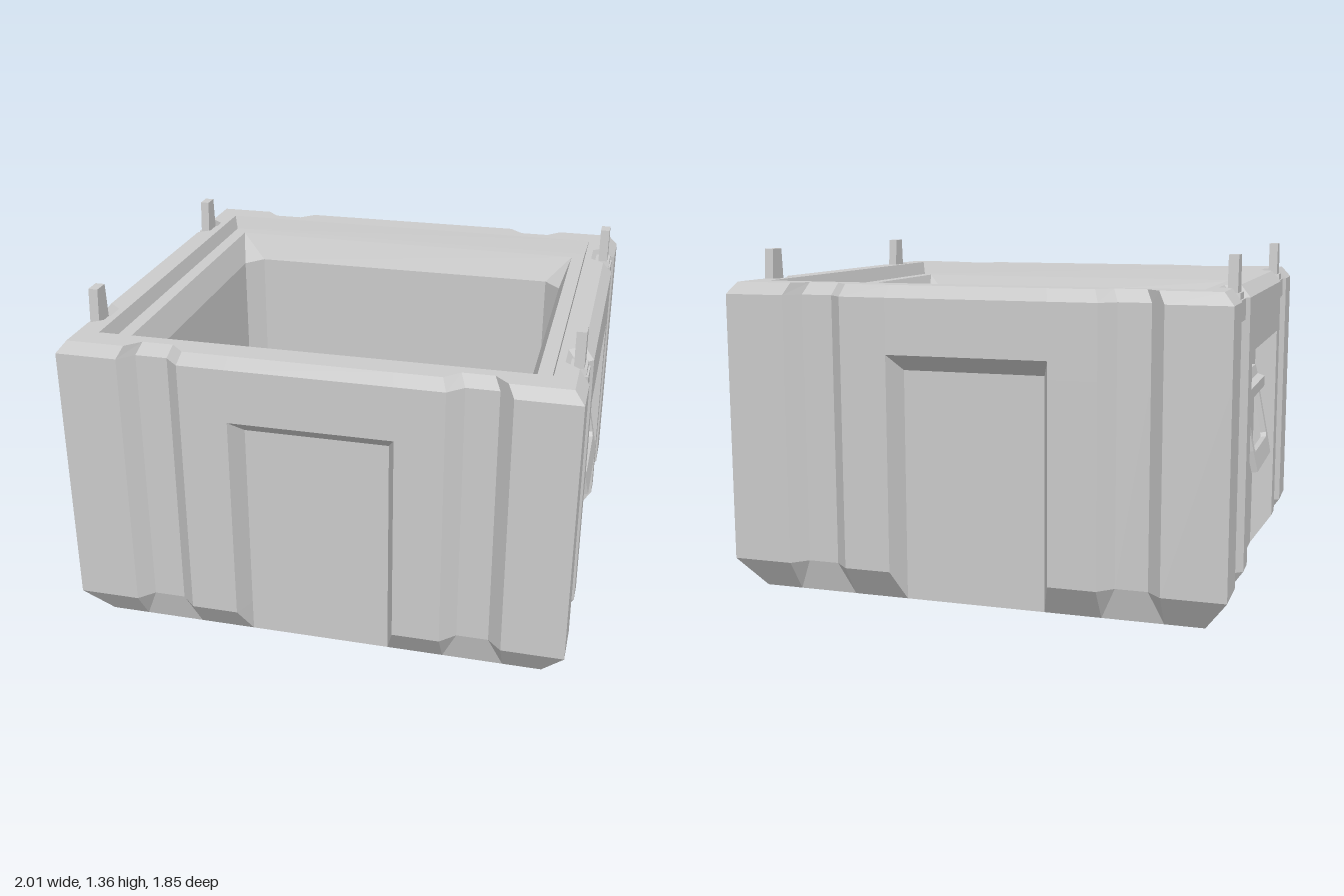
import * as THREE from 'three';

const grey = new THREE.MeshStandardMaterial({ color: 0xcccccc, flatShading: true });

function part(name, geometry, parent) {
  const mesh = new THREE.Mesh(geometry, grey);
  mesh.name = name;
  parent.add(mesh);
  return mesh;
}

// Skin closed rings of points, skipping collapsed triangles
function loft(rings) {
  const pos = [];
  const ab = new THREE.Vector3(), ac = new THREE.Vector3();
  const tri = (a, b, c) => {
    ab.subVectors(b, a);
    ac.subVectors(c, a);
    if (ab.cross(ac).length() < 1e-7) return;
    for (const p of [a, b, c]) pos.push(p.x, p.y, p.z);
  };
  for (let r = 0; r + 1 < rings.length; r++) {
    const lo = rings[r], hi = rings[r + 1], n = lo.length;
    for (let i = 0; i < n; i++) {
      const j = (i + 1) % n;
      tri(lo[i], lo[j], hi[j]);
      tri(lo[i], hi[j], hi[i]);
    }
  }
  const g = new THREE.BufferGeometry();
  g.setAttribute('position', new THREE.Float32BufferAttribute(pos, 3));
  g.computeVertexNormals();
  return g;
}

// Groove and panel positions along a wall: groove edge, floor, floor, edge, panel edge, panel floor
const FRONT = [0.749, 0.693, 0.567, 0.508, 0.32, 0.283];
const SIDE = [0.737, 0.686, 0.56, 0.51, 0.412, 0.39];

// Half outline of one wall, mirrored: [along, out] pairs
function wall(half, out, marks, { groove = 0, panel = 0, s = 1, foot = false, closed = false }) {
  const m = marks.map(v => v * s);
  if (foot) { m[1] = m[0]; m[2] = m[3]; m[4] = m[5]; }
  if (closed) m[5] = m[4];
  const drop = [0, groove, groove, 0, 0, panel];
  const left = [[-half, out], ...m.map((v, i) => [-v, out - drop[i]])];
  return [...left, ...left.slice().reverse().map(([a, o]) => [-a, o])];
}

// Full outline of the crate at one height
function outline(y, X, Z, opt) {
  const f = wall(X, Z, FRONT, opt), s = wall(Z, X, SIDE, opt);
  return [
    ...f.map(([a, o]) => new THREE.Vector3(a, y, o)),
    ...s.map(([a, o]) => new THREE.Vector3(o, y, -a)),
    ...f.map(([a, o]) => new THREE.Vector3(-a, y, -o)),
    ...s.map(([a, o]) => new THREE.Vector3(-o, y, a)),
  ];
}

// Rectangle whose corners may be cut
function rect(y, X, Z, bx = X, bz = Z) {
  return [[-bx, Z], [bx, Z], [X, bz], [X, -bz], [bx, -Z], [-bx, -Z], [-X, -bz], [-X, bz]]
    .map(([x, z]) => new THREE.Vector3(x, y, z));
}

// Box spanning two corners, with an optional taper in z at the top
function block(x0, x1, y0, y1, z0, z1, taper = 1) {
  const g = new THREE.BoxGeometry(x1 - x0, y1 - y0, z1 - z0);
  const p = g.attributes.position;
  for (let i = 0; i < p.count; i++) if (p.getY(i) > 0) p.setZ(i, p.getZ(i) * taper);
  g.translate((x0 + x1) / 2, (y0 + y1) / 2, (z0 + z1) / 2);
  return g;
}

function polygon(points) {
  return new THREE.Shape(points.map(([x, y]) => new THREE.Vector2(x, y)));
}

// Carry handle and lid latches for the +x wall
function sideHardware() {
  const side = new THREE.Group();

  // Hinge bracket, a profile swept across the wall
  const profile = polygon([[0.89, 0.71], [0.915, 0.71], [0.925, 0.755], [0.965, 0.755],
    [0.965, 0.80], [0.935, 0.81], [0.925, 0.85], [0.89, 0.85]]);
  const bracket = new THREE.ExtrudeGeometry(profile, { depth: 0.486, bevelEnabled: false });
  part('handleBracket', bracket.translate(0, 0, -0.243), side);

  // Swinging grip, leaning out at the bottom
  const frame = polygon([[-0.235, 0], [-0.228, -0.22], [-0.216, -0.31],
    [0.216, -0.31], [0.228, -0.22], [0.235, 0]]);
  frame.holes.push(polygon([[-0.195, -0.02], [0.195, -0.02], [0.19, -0.215],
    [0.175, -0.232], [-0.175, -0.232], [-0.19, -0.215]]));
  const grip = new THREE.ExtrudeGeometry(frame, { depth: 0.025, bevelEnabled: false });
  grip.rotateX(-0.2).rotateY(Math.PI / 2).translate(0.917, 0.765, 0);
  part('handleGrip', grip, side);

  for (const z of [-0.622, 0.622]) {
    part('latchBase', block(0.9, 0.985, 1.12, 1.2, z - 0.054, z + 0.054), side);
    part('latchCollar', block(0.915, 0.978, 1.2, 1.225, z - 0.05, z + 0.05, 0.9), side);
    part('latchPost', block(0.93, 0.968, 1.22, 1.364, z - 0.045, z + 0.045, 0.75), side);
  }
  return side;
}

export function createModel() {
  const crate = new THREE.Group();
  crate.name = 'crate';

  // Outer walls with grooves and sunken panels, up to the flat rim
  const deep = { groove: 0.056, panel: 0.09 };
  const flush = { groove: 0.056, closed: true };
  part('outerWalls', loft([
    outline(0, 0.903, 0.834, { foot: true }),
    outline(0.13, 0.994, 0.925, deep),
    outline(0.914, 0.994, 0.925, deep),
    outline(0.982, 0.994, 0.925, flush),
    outline(1.198, 0.994, 0.925, flush),
    outline(1.245, 0.955, 0.9, { ...flush, s: 0.967 }),
    outline(1.245, 0.87, 0.795, { closed: true, s: 0.967 }),
  ]), crate);

  // Stepped mouth, inner walls and raised floor
  part('cavity', loft([
    rect(1.245, 0.87, 0.795),
    rect(1.185, 0.856, 0.777),
    rect(1.185, 0.8, 0.722),
    rect(1.07, 0.76, 0.68, 0.69, 0.6),
    rect(0.1, 0.76, 0.68, 0.69, 0.6),
    rect(0.2, 0.69, 0.6),
    rect(0.2, 0, 0),
  ]), crate);

  // Underside with its sunken panel
  part('underside', loft([
    rect(0.13, 0, 0),
    rect(0.13, 0.52, 0.57),
    rect(0, 0.535, 0.59),
    rect(0, 0.903, 0.834),
  ]), crate);

  // Hardware on both sides
  for (const [name, turn] of [['leftHardware', 0], ['rightHardware', Math.PI]]) {
    const side = sideHardware();
    side.name = name;
    side.rotation.y = turn;
    crate.add(side);
  }
  return crate;
}
